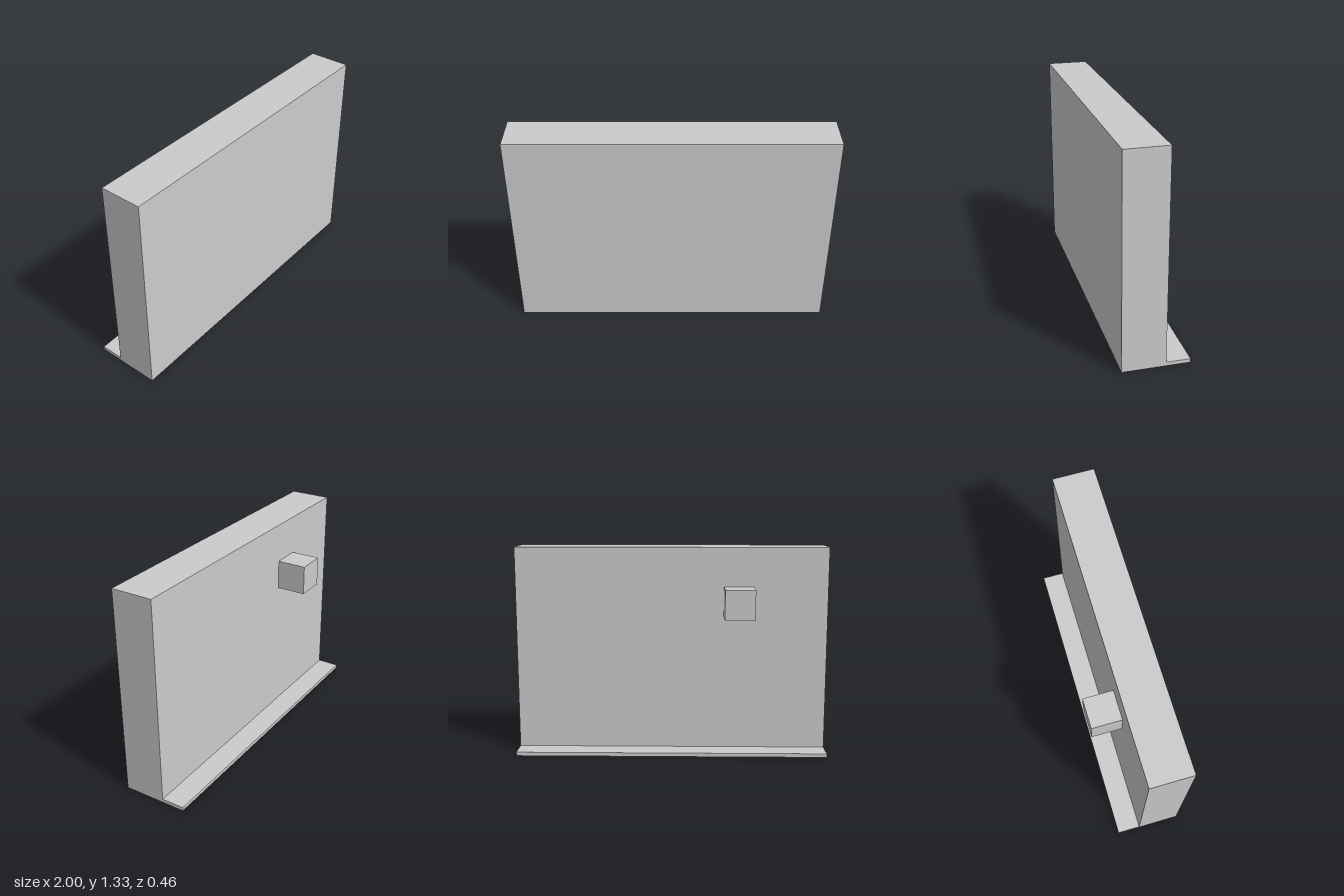
import * as THREE from 'three';

const material = new THREE.MeshStandardMaterial({ color: 0xcccccc, flatShading: true });

// Box given by its [min, max] extents along each axis
function block(name, [x0, x1], [y0, y1], [z0, z1]) {
  const mesh = new THREE.Mesh(new THREE.BoxGeometry(x1 - x0, y1 - y0, z1 - z0), material);
  mesh.name = name;
  mesh.position.set((x0 + x1) / 2, (y0 + y1) / 2, (z0 + z1) / 2);
  return mesh;
}

export function createModel() {
  const group = new THREE.Group();
  group.name = 'panelWithLedge';
  const back = -0.038; // rear face of the panel

  group.add(
    // Thick upright panel
    block('panel', [-1, 1], [0, 1.333], [back, 0.2285]),
    // Thin ledge along the foot of the rear face
    block('ledge', [-1, 1], [0, 0.024], [-0.185, back]),
    // Small cube projecting from the rear face
    block('rearCube', [-0.525, -0.335], [0.891, 1.081], [-0.2285, back]),
  );
  return group;
}
